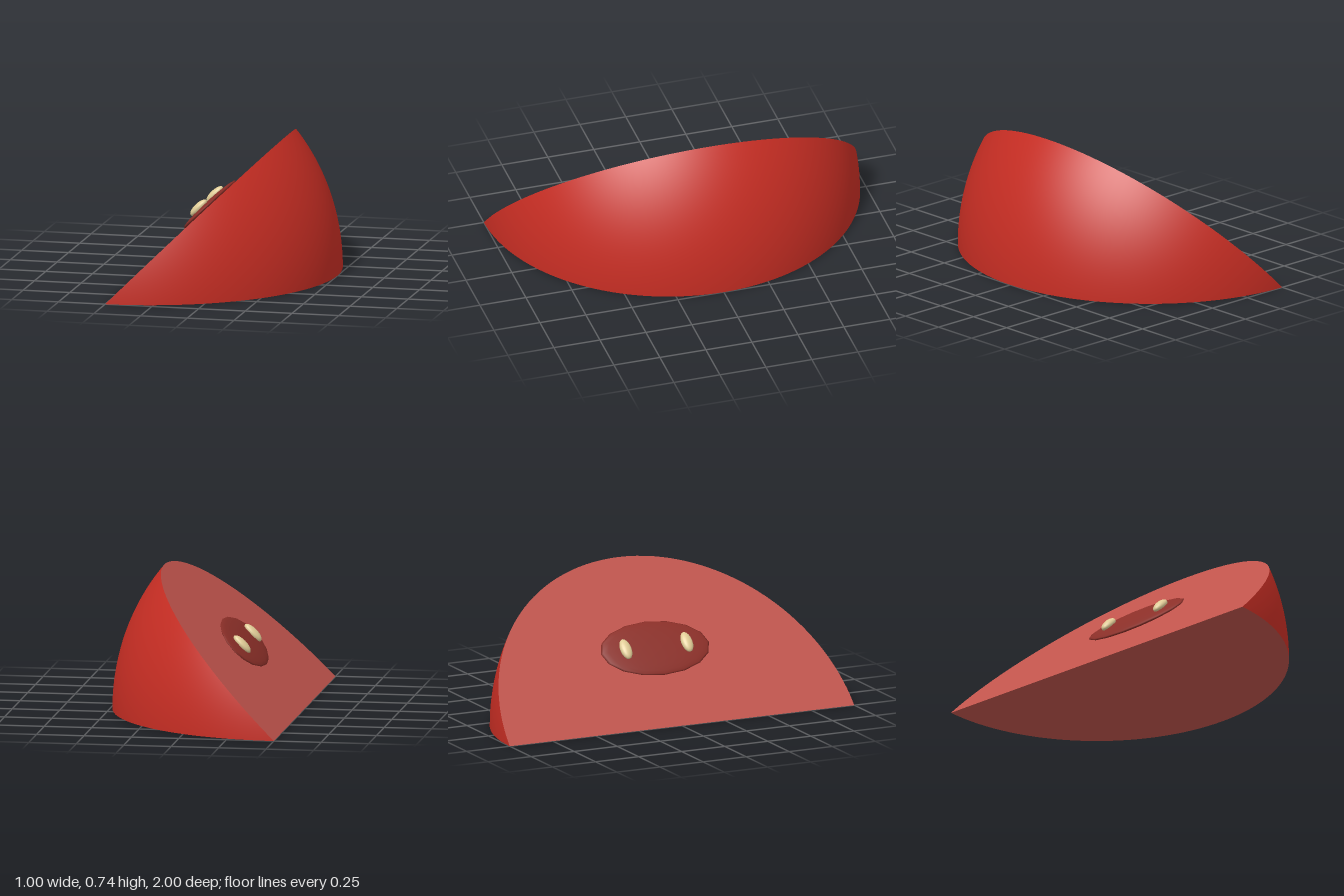
import * as THREE from 'three';

const material = (name, color) => new THREE.MeshStandardMaterial({ name, color });

export function createModel() {
  const skin = material('red skin', 0xc62d23);
  const flesh = material('pale red flesh', 0xc0544c);
  const coreRed = material('dark red core', 0x8b2f28);
  const cream = material('cream seed', 0xe0cc96);

  const model = new THREE.Group();
  model.name = 'fruitSlice';

  const add = (parent, name, geometry, mat) => {
    const mesh = new THREE.Mesh(geometry, mat);
    mesh.name = name;
    parent.add(mesh);
    return mesh;
  };

  // Everything is measured from the sharp edge of the wedge, which runs along z
  const wedge = new THREE.Group();
  wedge.name = 'wedge';
  wedge.position.x = -0.5;
  model.add(wedge);

  // Rounded skin: a 45 degree segment of a slightly tall ellipsoid
  const tall = 1.1;
  const skinGeometry = new THREE.SphereGeometry(1, 32, 64, Math.PI, Math.atan(1 / tall));
  skinGeometry.rotateX(Math.PI / 2).scale(1, tall, 1);
  add(wedge, 'skin', skinGeometry, skin);

  // Flat underside
  const halfDisc = () => new THREE.CircleGeometry(1, 64, -Math.PI / 2, Math.PI);
  add(wedge, 'bottomCut', halfDisc().rotateX(Math.PI / 2), flesh);

  // Sloping cut face; in this group x runs up the slope and y points out of it
  const slope = new THREE.Group();
  slope.name = 'slopingSide';
  slope.rotation.z = Math.PI / 4;
  wedge.add(slope);
  const slopeLength = Math.SQRT2 / Math.hypot(1, 1 / tall);
  add(slope, 'topCut', halfDisc().rotateX(-Math.PI / 2).scale(slopeLength, 1, 1), flesh);

  // Lens-shaped core resting on the cut
  const core = add(slope, 'core', new THREE.SphereGeometry(1, 16, 12).scale(0.165, 0.02, 0.313), coreRed);
  core.position.set(0.468, 0.02, 0);

  // Pair of seeds
  for (const side of [-1, 1]) {
    const seed = add(slope, side > 0 ? 'frontSeed' : 'backSeed',
      new THREE.SphereGeometry(1, 16, 12).scale(0.06, 0.023, 0.031), cream);
    seed.position.set(0.469, 0.044, side * 0.177);
  }

  return model;
}
